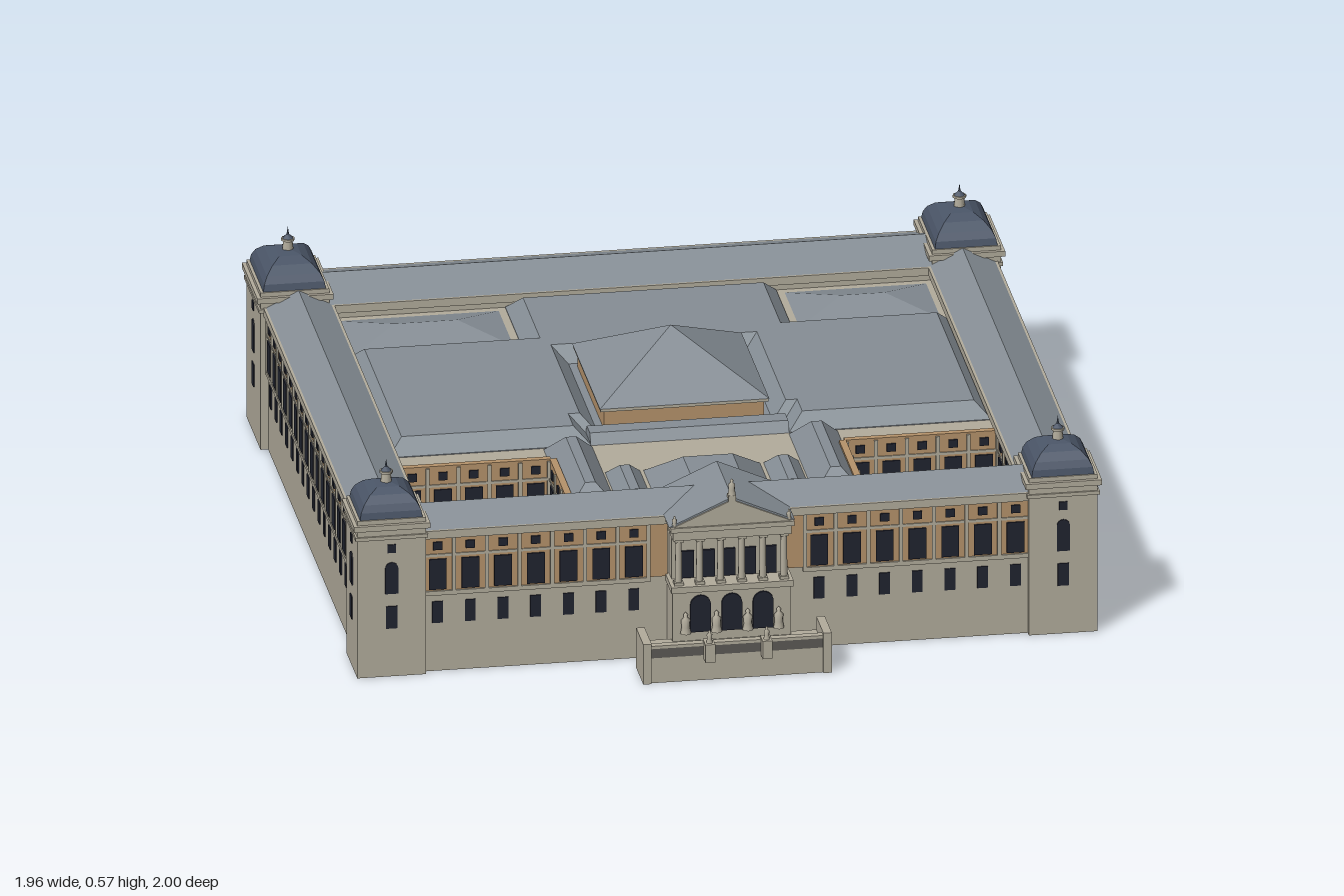
import * as THREE from 'three';
import { mergeGeometries } from 'three/addons/utils/BufferGeometryUtils.js';

const mat = (name, color) => Object.assign(new THREE.MeshStandardMaterial({ color }), { name });

export function createModel() {
  const model = new THREE.Group();
  model.name = 'palace';
  const stone = mat('stone', 0xb2ac9c);
  const brick = mat('brick', 0xb6936b);
  const roof = mat('slate roof', 0x868e95);
  const domeBlue = mat('dome slate', 0x4a5567);
  const glass = mat('dark glass', 0x20232f);
  const step = mat('shadowed balustrade', 0x5c5a55);

  const unindexed = (g) => (g.index ? g.toNonIndexed() : g);
  const flat = (g) => {
    const f = unindexed(g);
    f.computeVertexNormals();
    return f;
  };
  const add = (name, material, geos, parent = model) => {
    const m = new THREE.Mesh(mergeGeometries([].concat(geos).map(unindexed)), material);
    m.name = name;
    parent.add(m);
    return m;
  };
  // Box from its limits
  const box = (x0, x1, y0, y1, z0, z1) =>
    new THREE.BoxGeometry(x1 - x0, y1 - y0, z1 - z0).translate((x0 + x1) / 2, (y0 + y1) / 2, (z0 + z1) / 2);
  // Sloped roof: a box whose top edges move inwards (ix, iz); a full inset gives a ridge or point
  const hip = (x0, x1, y0, y1, z0, z1, ix, iz) => {
    const g = box(x0, x1, y0, y1, z0, z1), p = g.attributes.position;
    const cx = (x0 + x1) / 2, cz = (z0 + z1) / 2;
    for (let i = 0; i < p.count; i++) {
      if (p.getY(i) < (y0 + y1) / 2) continue;
      p.setX(i, p.getX(i) - Math.sign(p.getX(i) - cx) * ix);
      p.setZ(i, p.getZ(i) - Math.sign(p.getZ(i) - cz) * iz);
    }
    return flat(g);
  };
  // Round-headed opening plate
  const arch = (x, y0, y1, w, d) => {
    const r = w / 2, s = new THREE.Shape();
    s.moveTo(-r, y0).lineTo(r, y0).lineTo(r, y1 - r).absarc(0, y1 - r, r, 0, Math.PI, false).lineTo(-r, y0);
    return new THREE.ExtrudeGeometry(s, { depth: d, bevelEnabled: false, curveSegments: 6 }).translate(x, 0, 0);
  };

  // Thin wall facing local +z: stone base, brick upper storey, pilasters and three rows of windows
  function facade(name, x, z, turn, length, bays, y0 = 0) {
    const g = new THREE.Group(), h = length / 2, s = length / bays;
    const trim = [box(-h, h, y0, 0.226, -0.015, 0), box(-h, h, 0.214, 0.226, 0, 0.008),
      box(-h, h, 0.322, 0.329, 0, 0.006)], panes = [];
    for (let i = 0; i <= bays; i++) {
      const px = Math.min(Math.max(-h + i * s, -h + 0.005), h - 0.005);
      trim.push(box(px - 0.005, px + 0.005, 0.226, 0.375, 0, 0.008));
      if (i === bays) break;
      const c = -h + (i + 0.5) * s;
      panes.push(box(c - 0.014, c + 0.014, 0.135, 0.195, 0, 0.003),
        box(c - 0.023, c + 0.023, 0.23, 0.315, 0, 0.007),
        box(c - 0.012, c + 0.012, 0.341, 0.363, 0, 0.007));
    }
    add('stonework', stone, trim, g);
    add('brickStorey', brick, box(-h, h, 0.226, 0.38, -0.015, 0.003), g);
    add('windows', glass, panes, g);
    g.name = name;
    g.position.set(x, 0, z);
    g.rotation.y = turn;
    model.add(g);
  }

  // Four outer wings, open beneath: ceilings, cornices and ridged roofs
  const wing = (name, x0, x1, z0, z1, alongX) => {
    add(name + 'Cornice', stone, [box(x0, x1, 0.345, 0.38, z0, z1), box(x0 - 0.012, x1 + 0.012, 0.375, 0.397, z0 - 0.012, z1 + 0.012)]);
    add(name + 'Roof', roof, hip(x0 - 0.005, x1 + 0.005, 0.397, 0.44, z0 - 0.005, z1 + 0.005,
      alongX ? 0 : (x1 - x0) / 2 + 0.005, alongX ? (z1 - z0) / 2 + 0.005 : 0));
  };
  wing('frontWing', -0.8, 0.8, 0.635, 0.795, true);
  wing('backWing', -0.8, 0.8, -0.95, -0.725, true);
  const P = Math.PI;
  facade('backFacade', 0, -0.95, P, 1.58, 18);
  add('frontMiddleWall', stone, box(-0.2, 0.2, 0, 0.38, 0.78, 0.795));
  for (const s of [-1, 1]) {
    wing(s < 0 ? 'rightWing' : 'leftWing', s < 0 ? -0.95 : 0.79, s < 0 ? -0.79 : 0.95, -0.74, 0.65, false);
    facade('sideFacade', s * 0.95, -0.04, s * P / 2, 1.37, 16);
    facade('frontFacade', s * 0.5, 0.795, 0, 0.6, 7);
    add('frontBrickEnd', brick, box(s * 0.18 - 0.025, s * 0.18 + 0.025, 0.226, 0.375, 0.79, 0.799));
  }

  // Corner towers with square domes and lanterns
  const domeProfile = [[1, 0], [0.96, 0.25], [0.85, 0.5], [0.63, 0.76], [0.36, 0.93], [0, 1.02]]
    .map(([r, y]) => new THREE.Vector2(r * Math.SQRT2, y));
  for (const s of [-1, 1]) for (const [zc, hz, out] of [[0.725, 0.088, 1], [-0.84, 0.113, -1]]) {
    const t = new THREE.Group(), hx = 0.09;
    add('towerWalls', stone, [box(-hx, hx, 0, 0.415, -hz, hz),
      box(-hx - 0.005, hx + 0.005, 0.385, 0.395, -hz - 0.005, hz + 0.005),
      box(-hx - 0.01, hx + 0.01, 0.413, 0.428, -hz - 0.01, hz + 0.01),
      box(-hx, hx, 0.428, 0.44, -hz, hz)], t);
    const dome = flat(new THREE.LatheGeometry(domeProfile, 4).rotateY(P / 4));
    add('dome', domeBlue, dome.scale(0.082, 0.073, hz - 0.004).translate(0, 0.44, 0), t);
    add('lantern', stone, [new THREE.CylinderGeometry(0.012, 0.015, 0.03, 8).translate(0, 0.522, 0),
      new THREE.CylinderGeometry(0.018, 0.018, 0.006, 8).translate(0, 0.539, 0)], t);
    add('lanternCap', domeBlue, [new THREE.ConeGeometry(0.015, 0.015, 8).translate(0, 0.549, 0),
      new THREE.ConeGeometry(0.004, 0.024, 6).translate(0, 0.562, 0)], t);
    for (const [turn, d] of [[out > 0 ? 0 : P, hz], [s * P / 2, hx]]) {
      const w = add('towerWindows', glass, [arch(0, 0.232, 0.32, 0.034, 0.003),
        box(-0.015, 0.015, 0.135, 0.197, 0, 0.003), box(-0.011, 0.011, 0.347, 0.37, 0, 0.003)], t);
      w.rotation.y = turn;
      w.position.set(Math.sin(turn) * d, 0, Math.cos(turn) * d);
    }
    t.name = 'cornerTower';
    t.position.set(s * 0.88, 0, zc);
    model.add(t);
  }

  // Stone deck under the inner roofs
  add('innerDeck', stone, [box(-0.8, 0.8, 0.345, 0.357, -0.73, 0.34), box(-0.385, 0.385, 0.345, 0.357, 0.34, 0.64)]);

  // Main hall roof: bevelled slab with an open well around the central pavilion
  const outline = [[-0.75, 0.18], [-0.3, 0.18], [-0.3, 0.1], [-0.27, 0.1], [-0.27, -0.36], [0.27, -0.36], [0.27, 0.1],
    [0.3, 0.1], [0.3, 0.18], [0.75, 0.18], [0.75, -0.41], [0.34, -0.41], [0.34, -0.68], [-0.29, -0.68], [-0.29, -0.41], [-0.75, -0.41]];
  const slab = new THREE.ExtrudeGeometry(new THREE.Shape(outline.map(([x, z]) => new THREE.Vector2(x, -z))),
    { depth: 0.002, bevelSize: 0.04, bevelThickness: 0.04, bevelSegments: 1 }).rotateX(-P / 2).translate(0, 0.358, 0);
  const sp = slab.attributes.position;
  for (let i = 0; i < sp.count; i++) sp.setY(i, Math.max(sp.getY(i), 0.358));
  add('mainRoof', roof, flat(slab));
  add('wellFloor', roof, box(-0.25, 0.25, 0.35, 0.36, -0.34, 0.14));
  add('pavilionWalls', brick, box(-0.21, 0.21, 0.35, 0.42, -0.3, 0.12));
  add('pavilionEaves', stone, box(-0.22, 0.22, 0.411, 0.42, -0.31, 0.13));
  add('pavilionRoof', roof, hip(-0.222, 0.222, 0.42, 0.55, -0.312, 0.132, 0.222, 0.222));

  // Hipped roofs over the back courts
  for (const [x0, x1] of [[-0.79, -0.33], [0.38, 0.79]])
    add('backCourtRoof', roof, hip(x0 + 0.008, x1 - 0.008, 0.354, 0.39, -0.715, -0.458, 0.14, 0.1285));

  // Roofs between the hall and the front wing
  add('hallEndWall', stone, box(-0.26, 0.26, 0, 0.35, 0.13, 0.22));
  add('hallLinkRoof', roof, hip(-0.26, 0.26, 0.355, 0.385, 0.132, 0.22, 0, 0.02));
  add('vestibuleRoof', roof, hip(-0.155, 0.155, 0.355, 0.43, 0.4, 0.8, 0.09, 0.1));
  for (const s of [-1, 1]) {
    const X = (a, b) => (s > 0 ? [a, b] : [-b, -a]);
    add('flankRoof', roof, hip(...X(0.258, 0.385), 0.357, 0.41, 0.225, 0.632, 0.05, 0.05));
    add('stairRoof', roof, hip(...X(0.16, 0.255), 0.355, 0.39, 0.4, 0.632, 0.035, 0.035));
    // Sunken front court with a facade on each side
    add('frontCourtFloor', roof, box(...X(0.37, 0.805), 0.08, 0.1, 0.325, 0.65));
    facade('courtBackFacade', s * 0.5875, 0.34, 0, 0.405, 5, 0.08);
    facade('courtFrontFacade', s * 0.5875, 0.635, P, 0.405, 5, 0.08);
    facade('courtInnerFacade', s * 0.385, 0.4875, s * P / 2, 0.295, 3, 0.08);
    facade('courtOuterFacade', s * 0.79, 0.4875, -s * P / 2, 0.295, 3, 0.08);
  }

  // Entrance portico: arcade, loggia columns and pediment
  add('porticoWalls', stone, [box(-0.155, 0.155, 0, 0.22, 0.79, 0.88), box(-0.16, 0.16, 0.215, 0.232, 0.79, 0.895),
    box(-0.15, 0.15, 0.23, 0.37, 0.79, 0.835), box(-0.155, 0.155, 0.36, 0.385, 0.79, 0.888),
    box(-0.162, 0.162, 0.385, 0.398, 0.79, 0.895)]);
  const openings = [];
  for (const x of [-0.082, 0, 0.082]) openings.push(arch(x, 0.1, 0.202, 0.054, 0.006).translate(0, 0, 0.88));
  for (let i = -2; i <= 2; i++) openings.push(box(i * 0.054 - 0.016, i * 0.054 + 0.016, 0.235, 0.31, 0.835, 0.842));
  add('porticoOpenings', glass, openings);
  const columns = [];
  for (let i = 0; i < 6; i++) {
    const x = -0.138 + i * 0.0552;
    columns.push(new THREE.CylinderGeometry(0.008, 0.0095, 0.13, 10).translate(x, 0.297, 0.872),
      box(x - 0.011, x + 0.011, 0.352, 0.36, 0.861, 0.883), box(x - 0.012, x + 0.012, 0.232, 0.24, 0.86, 0.884));
  }
  add('loggiaColumns', stone, columns);
  add('pediment', stone, hip(-0.155, 0.155, 0.398, 0.466, 0.85, 0.89, 0.155, 0));
  add('porticoRoof', roof, hip(-0.165, 0.165, 0.398, 0.472, 0.64, 0.885, 0.165, 0));

  // Simple standing figure turned from a profile
  const figure = (x, y, z, h) => new THREE.LatheGeometry(
    [[0.3, 0], [0.22, 0.3], [0.26, 0.62], [0.1, 0.75], [0.13, 0.88], [0, 1]]
      .map(([r, v]) => new THREE.Vector2(r * h * 0.8, v * h)), 8).translate(x, y, z);
  add('roofFigure', stone, [box(-0.01, 0.01, 0.455, 0.478, 0.87, 0.89), figure(0, 0.478, 0.88, 0.045),
    figure(-0.15, 0.398, 0.88, 0.03), figure(0.15, 0.398, 0.88, 0.03)]);

  // Front terrace with parapet, pedestals and figures
  const terrace = [box(-0.245, 0.245, 0, 0.075, 0.86, 0.968), box(-0.235, 0.235, 0.096, 0.104, 0.95, 0.97)];
  for (const s of [-1, 1]) {
    terrace.push(box(s * 0.236 - 0.011, s * 0.236 + 0.011, 0, 0.112, 0.86, 0.974),
      box(s * 0.075 - 0.013, s * 0.075 + 0.013, 0.06, 0.11, 0.955, 0.998), figure(s * 0.075, 0.11, 0.982, 0.036),
      figure(s * 0.122, 0.1, 0.888, 0.06), figure(s * 0.041, 0.1, 0.888, 0.06));
  }
  add('terrace', stone, terrace);
  add('terraceBalustrade', step, box(-0.235, 0.235, 0.07, 0.097, 0.953, 0.969));

  // Back porch with balcony posts
  const porch = [box(-0.17, 0.17, 0, 0.1, -0.998, -0.95), box(-0.23, 0.23, 0, 0.115, -0.965, -0.95),
    box(-0.17, 0.17, 0.205, 0.22, -0.988, -0.95)];
  for (let i = 0; i < 6; i++) porch.push(box(-0.165 + i * 0.0636, -0.153 + i * 0.0636, 0.1, 0.206, -0.98, -0.968));
  add('backPorch', stone, porch);
  return model;
}
